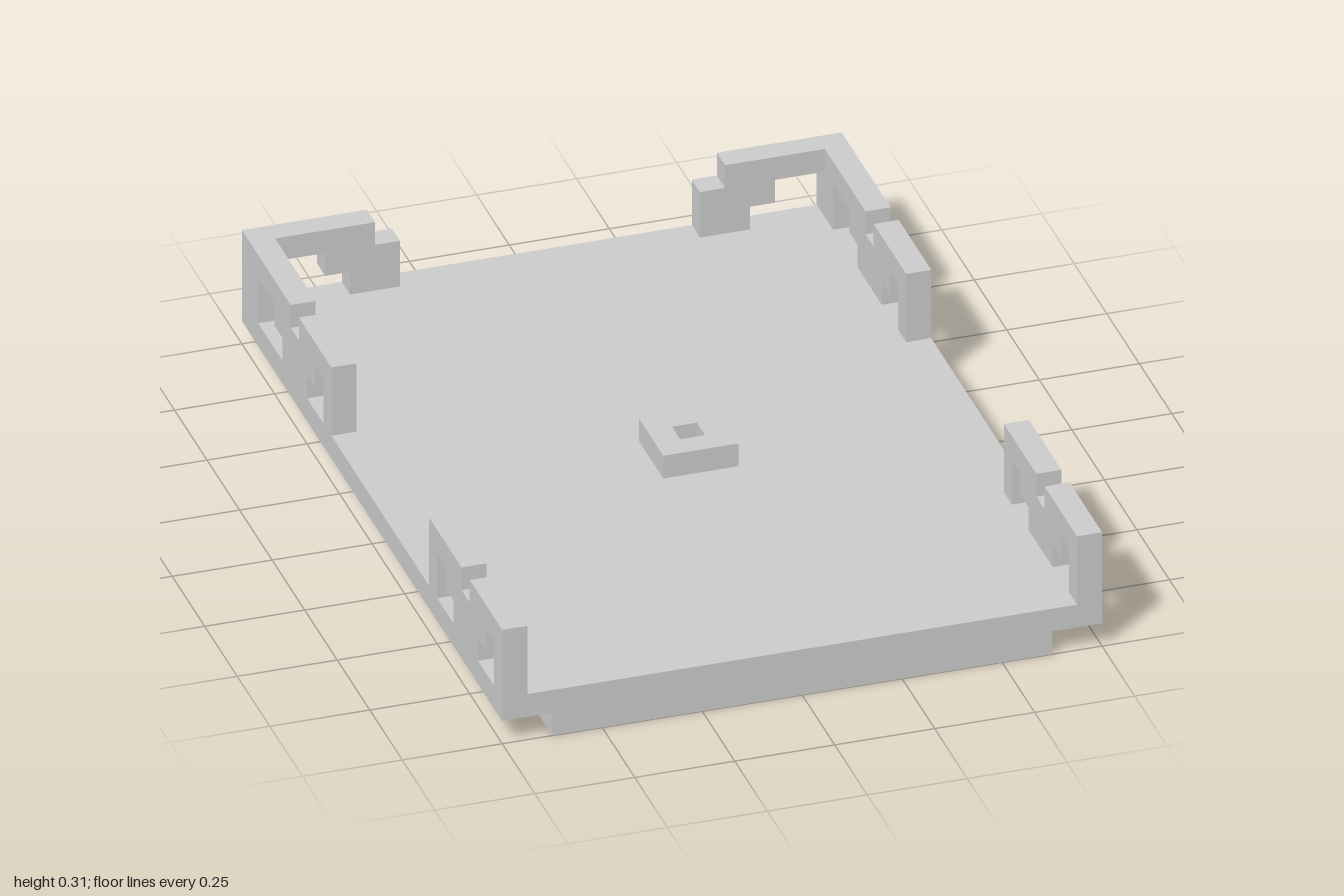
import * as THREE from 'three';

const U = 1 / 16; // all sizes below are in sixteenths

export function createModel() {
  const model = new THREE.Group();
  const material = new THREE.MeshStandardMaterial({ color: 0xcccccc, flatShading: true });

  const add = (name, geometry) => {
    geometry.scale(U, U, U);
    const mesh = new THREE.Mesh(geometry, material);
    mesh.name = name;
    model.add(mesh);
  };
  const box = (name, x0, x1, y0, y1, z0, z1) =>
    add(name, new THREE.BoxGeometry(x1 - x0, y1 - y0, z1 - z0)
      .translate((x0 + x1) / 2, (y0 + y1) / 2, (z0 + z1) / 2));
  const plate = (points) => new THREE.ExtrudeGeometry(
    new THREE.Shape(points.map(([x, y]) => new THREE.Vector2(x, y))),
    { depth: 1, bevelEnabled: false });

  // Stepped base and main slab
  box('lowerBase', -10, 10, 0, 1, -14, 16);
  box('slab', -12, 12, 1, 2, -16, 16);

  // Fretwork outlines; the openings reach down to the slab
  const frontSide = [[7, 2], [7, 5], [11, 5], [11, 4], [12, 4], [12, 5], [16, 5], [16, 2],
    [15, 2], [15, 4], [14, 4], [14, 3], [13, 3], [13, 2],
    [10, 2], [10, 3], [9, 3], [9, 4], [8, 4], [8, 2]];
  const backSide = [[-5, 2], [-5, 5], [-9, 5], [-9, 4], [-10, 4], [-10, 5], [-16, 5], [-16, 2],
    [-14, 2], [-14, 4], [-12, 4], [-12, 3], [-11, 3], [-11, 2],
    [-8, 2], [-8, 3], [-7, 3], [-7, 4], [-6, 4], [-6, 2]];
  const backEnd = [[11, 5], [7, 5], [7, 4], [6, 4], [6, 2], [8, 2], [8, 3], [9, 3], [9, 4], [11, 4]];

  for (const [side, s] of [['left', 1], ['right', -1]]) {
    // Side railings: the outline runs along z
    const x = s > 0 ? 12 : -11;
    add(side + 'FrontRailing', plate(frontSide).rotateY(-Math.PI / 2).translate(x, 0, 0));
    add(side + 'BackRailing', plate(backSide).rotateY(-Math.PI / 2).translate(x, 0, 0));
    // Short railing turning the back corner
    add(side + 'RearRailing', plate(backEnd.map(([px, y]) => [s * px, y])).translate(0, 0, -16));
  }

  // Square socket ring near the middle
  const ring = new THREE.Shape([[-1, -1], [2, -1], [2, 2], [-1, 2]].map((p) => new THREE.Vector2(...p)));
  ring.holes.push(new THREE.Path([[0, 0], [0, 1], [1, 1], [1, 0]].map((p) => new THREE.Vector2(...p))));
  add('centreSocket', new THREE.ExtrudeGeometry(ring, { depth: 1, bevelEnabled: false })
    .rotateX(Math.PI / 2).translate(0, 3, 0));

  return model;
}
